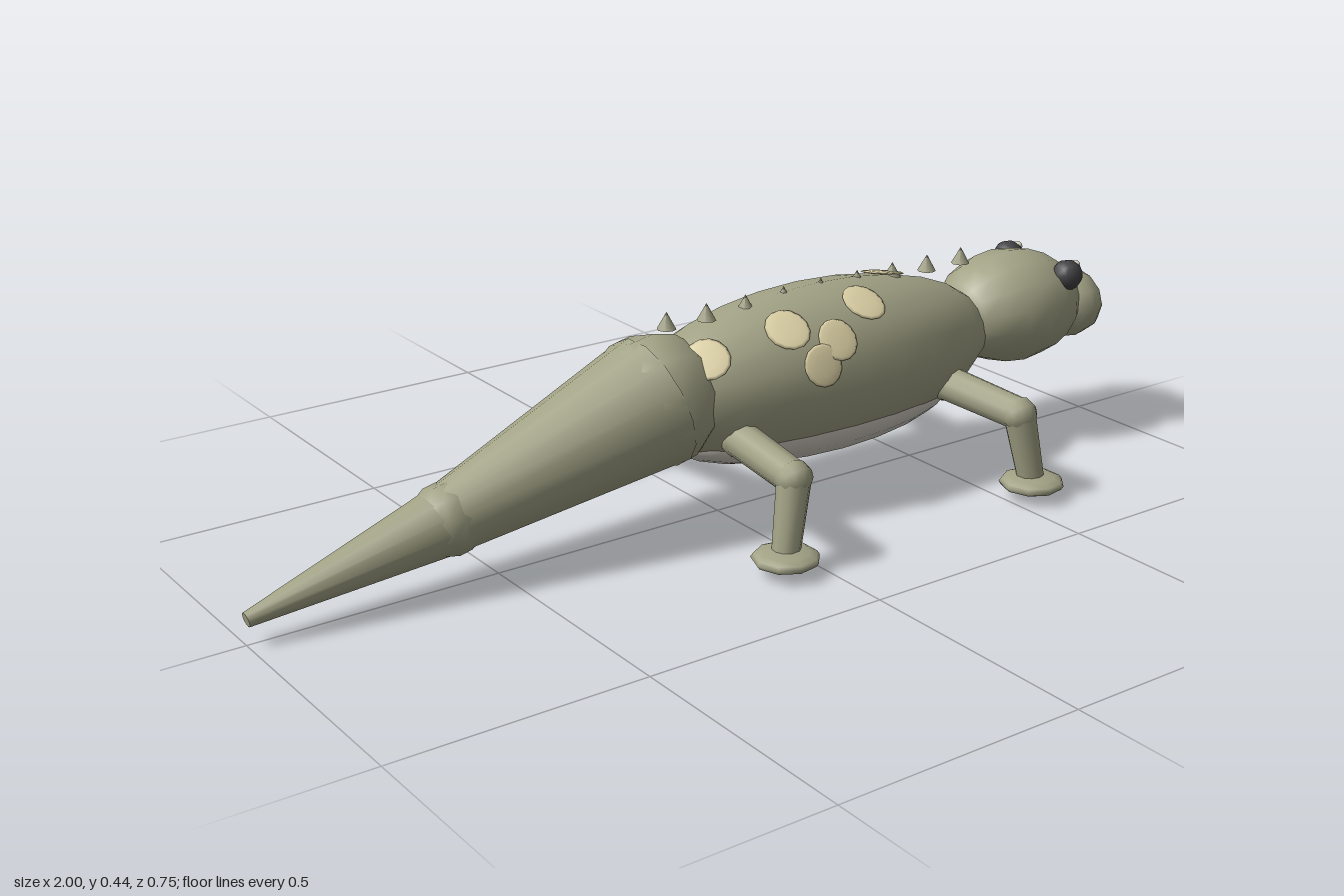
import * as THREE from 'three';

const paint = (name, color) => {
  const m = new THREE.MeshStandardMaterial({ color });
  m.name = name;
  return m;
};

export function createModel() {
  const model = new THREE.Group();
  model.name = 'lizard';
  const skin = paint('olive skin', 0xa2a286);
  const bellyGrey = paint('belly pale grey', 0xcdc8be);
  const tan = paint('tan spots', 0xe2d6aa);
  const black = paint('eye black', 0x424245);
  const white = paint('eye glint', 0xebe6d6);
  const V = (x, y, z) => new THREE.Vector3(x, y, z);
  const UP = V(0, 1, 0);

  const add = (name, geo, mat, pos, parent = model) => {
    const m = new THREE.Mesh(geo, mat);
    m.name = name;
    m.position.copy(pos);
    parent.add(m);
    return m;
  };

  // Ellipsoid with its poles on the x axis
  const ellipsoid = (name, mat, pos, rx, ry, rz, sides = 14, rows = 12, parent = model) => {
    const geo = new THREE.SphereGeometry(1, sides, rows).rotateZ(-Math.PI / 2).scale(rx, ry, rz);
    return add(name, geo, mat, pos, parent);
  };

  // Tapered limb section between two points
  const limb = (name, a, b, ra, rb, sides, parent = model) => {
    const d = b.clone().sub(a);
    const geo = new THREE.CylinderGeometry(rb, ra, d.length(), sides);
    const m = add(name, geo, skin, a.clone().add(b).multiplyScalar(0.5), parent);
    m.quaternion.setFromUnitVectors(UP, d.normalize());
    return m;
  };

  // Torso and belly
  const c = V(0.24, 0.26, 0), R = V(0.44, 0.168, 0.168);
  ellipsoid('torso', skin, c, R.x, R.y, R.z, 16, 14);
  ellipsoid('belly', bellyGrey, V(0.24, 0.166, 0), 0.35, 0.081, 0.139, 16, 12);

  // Head and snout
  ellipsoid('head', skin, V(0.765, 0.285, 0), 0.167, 0.12, 0.135, 14, 10);
  ellipsoid('snout', skin, V(0.92, 0.267, 0), 0.077, 0.079, 0.102, 12, 10);

  // Tail
  const hip = V(-0.15, 0.265, 0), mid = V(-0.6, 0.135, 0), tip = V(-0.997, 0.048, 0);
  ellipsoid('tailRootJoint', skin, hip, 0.133, 0.133, 0.133, 10, 8);
  limb('tailBase', hip, mid, 0.132, 0.066, 14);
  ellipsoid('tailMidJoint', skin, mid, 0.071, 0.071, 0.071, 10, 8);
  limb('tailEnd', mid, tip, 0.066, 0.014, 12);

  for (const s of [1, -1]) {
    const side = s > 0 ? 'right' : 'left';
    // Eyes with a small glint
    ellipsoid(side + 'Eye', black, V(0.845, 0.358, s * 0.09), 0.033, 0.033, 0.033, 10, 8);
    ellipsoid(side + 'EyeGlint', white, V(0.869, 0.375, s * 0.088), 0.0115, 0.0115, 0.0115, 8, 6);

    // Legs with round joints and flat feet
    for (const [end, x0, x1, x2] of [['front', 0.51, 0.53, 0.555], ['rear', -0.02, -0.036, -0.068]]) {
      const leg = new THREE.Group();
      leg.name = end + side + 'Leg';
      model.add(leg);
      const shoulder = V(x0, 0.19, s * 0.1), elbow = V(x1, 0.176, s * 0.291), ankle = V(x2, 0.032, s * 0.309);
      limb('upperLeg', shoulder, elbow, 0.037, 0.034, 10, leg);
      limb('lowerLeg', elbow, ankle, 0.033, 0.027, 10, leg);
      ellipsoid('shoulder', skin, shoulder, 0.039, 0.039, 0.039, 8, 6, leg);
      ellipsoid('elbow', skin, elbow, 0.036, 0.036, 0.036, 8, 6, leg);
      ellipsoid('ankle', skin, ankle, 0.027, 0.032, 0.027, 8, 6, leg);
      add('foot', new THREE.SphereGeometry(1, 9, 8).scale(0.066, 0.019, 0.066), skin, V(x2, 0.031, s * 0.31), leg);
    }
  }

  // Row of small spikes along the back
  for (let i = 0; i < 9; i++) {
    add('backSpike', new THREE.ConeGeometry(0.019, 0.034, 8), skin, V(-0.118 + i * 0.0925, 0.419, 0));
  }

  // Thin lens-shaped spots on the torso: [x, angle from the top towards the front side, radius]
  const spots = [
    [-0.075, 0.66, 0.045], [0.095, 0.66, 0.046], [0.14, 1.2, 0.042],
    [0.188, 0.95, 0.043], [0.29, 0.56, 0.046], [0.435, -0.19, 0.045],
  ];
  for (const [x, a, r] of spots) {
    const k = Math.sqrt(1 - ((x - c.x) / R.x) ** 2);
    const offset = V(x - c.x, R.y * k * Math.cos(a), R.z * k * Math.sin(a));
    const normal = offset.clone().divide(R).divide(R).normalize();
    const m = add('spot', new THREE.SphereGeometry(1, 14, 6).scale(r, 0.0048, r), tan, c.clone().add(offset));
    m.quaternion.setFromUnitVectors(UP, normal);
  }
  return model;
}
